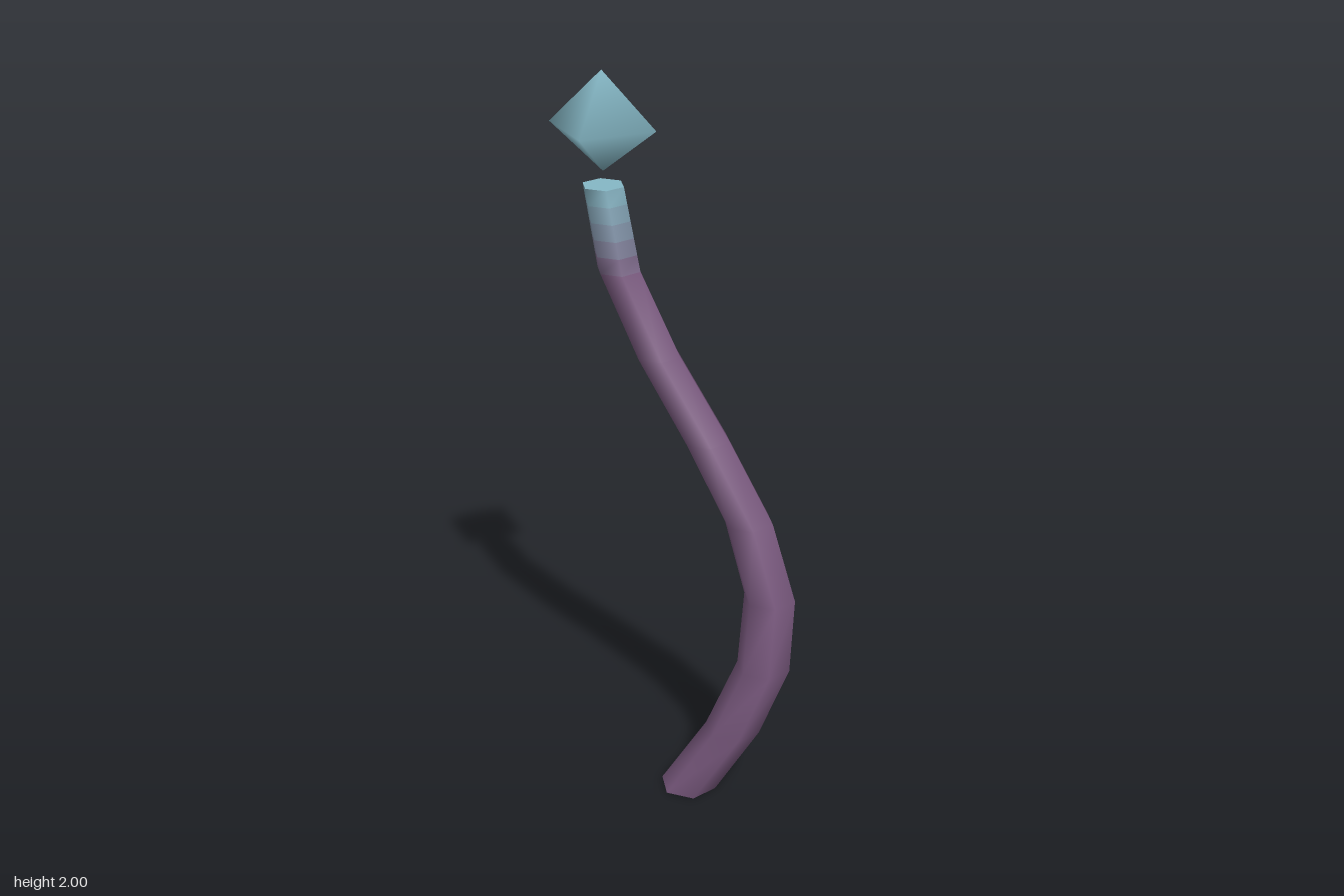
import * as THREE from 'three';
import { mergeVertices } from 'three/addons/utils/BufferGeometryUtils.js';

const SIDES = 6, ROWS = 8, TIP_BANDS = 5, HEIGHT = 1.715;
const PURPLE = new THREE.Color(0x7d5c82), TEAL = new THREE.Color(0x86b8c6);

const bendX = t => 0.038 + 0.229 * Math.sin(t * 1.5 * Math.PI);
const radius = t => THREE.MathUtils.lerp(0.079, 0.055, t);

function makeMesh(name, geometry, color) {
  const mesh = new THREE.Mesh(geometry, new THREE.MeshStandardMaterial({ color, roughness: 0.8 }));
  mesh.name = name;
  return mesh;
}

// Horizontal six-sided ring at height fraction t: [x, y, z] corners
function ring(t) {
  return Array.from({ length: SIDES }, (_, i) => {
    const a = i / SIDES * Math.PI * 2;
    return [bendX(t) + radius(t) * Math.cos(a), HEIGHT * t, radius(t) * Math.sin(a)];
  });
}

// Rings joined into a tube, smooth all round
function tube(rings) {
  const index = [];
  for (let r = 0; r < rings.length - 1; r++) {
    for (let i = 0; i < SIDES; i++) {
      const a = r * SIDES + i, b = r * SIDES + (i + 1) % SIDES;
      index.push(a, a + SIDES, b, b, a + SIDES, b + SIDES);
    }
  }
  const g = new THREE.BufferGeometry();
  g.setAttribute('position', new THREE.Float32BufferAttribute(rings.flat(2), 3));
  g.setIndex(index);
  g.computeVertexNormals();
  return g;
}

// Flat hexagon closing one end of the stem
function cap(name, t, up, color) {
  const mesh = makeMesh(name, new THREE.CircleGeometry(radius(t), SIDES), color);
  mesh.rotation.x = up ? -Math.PI / 2 : Math.PI / 2;
  mesh.position.set(bendX(t), HEIGHT * t, 0);
  return mesh;
}

export function createModel() {
  const model = new THREE.Group();
  model.name = 'crystalStaff';

  // Curved stem; its last section is divided straight into colour bands
  const rings = Array.from({ length: ROWS + 1 }, (_, i) => ring(i / ROWS));
  const [from, to] = rings.slice(-2);
  const bands = Array.from({ length: TIP_BANDS - 1 }, (_, k) =>
    from.map((p, i) => p.map((v, c) => THREE.MathUtils.lerp(v, to[i][c], (k + 1) / TIP_BANDS))));
  rings.splice(ROWS, 0, ...bands);
  const whole = tube(rings);

  // Sections share the tube's vertices so the shading runs on unbroken
  const section = (name, start, end, color) => {
    const g = new THREE.BufferGeometry();
    g.setAttribute('position', whole.getAttribute('position'));
    g.setAttribute('normal', whole.getAttribute('normal'));
    g.setIndex(Array.from(whole.index.array.slice(start * SIDES * 6, end * SIDES * 6)));
    model.add(makeMesh(name, g, color));
  };
  section('stem', 0, ROWS - 1, PURPLE);
  for (let k = 0; k < TIP_BANDS; k++) {
    const color = PURPLE.clone().lerp(TEAL, (k + 0.5) / TIP_BANDS);
    section(`stemTip${k + 1}`, ROWS - 1 + k, ROWS + k, color);
  }
  model.add(cap('stemBase', 0, false, PURPLE), cap('stemTop', 1, true, TEAL));

  // Floating crystal: an octahedron with a taller upper half, softly shaded
  let gem = new THREE.OctahedronGeometry(1, 0);
  gem.deleteAttribute('uv');
  gem.deleteAttribute('normal');
  gem = mergeVertices(gem);
  const p = gem.getAttribute('position');
  for (let i = 0; i < p.count; i++) {
    const y = p.getY(i);
    p.setXYZ(i, p.getX(i) * 0.141, y * (y > 0 ? 0.138 : 0.112), p.getZ(i) * 0.141);
  }
  gem.computeVertexNormals();
  const crystal = makeMesh('crystal', gem, TEAL);
  crystal.position.set(bendX(1), 1.862, 0);
  model.add(crystal);

  return model;
}
